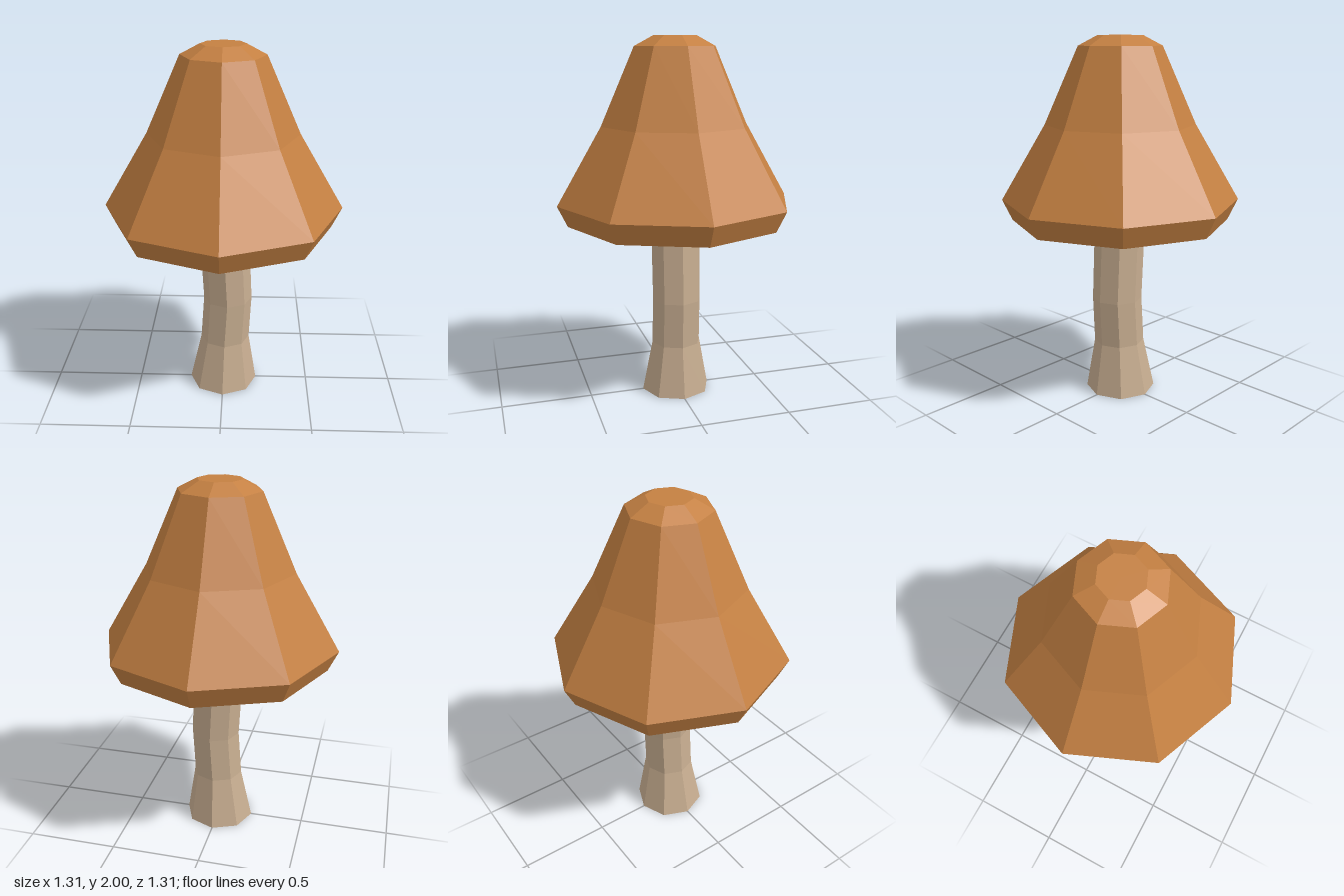
import * as THREE from 'three';

const SIDES = 8;

// Closed eight-sided solid turned from [radius, y] points listed bottom to top
function turned(name, profile, material) {
  const points = profile.map(([r, y]) => new THREE.Vector2(r, y));
  const mesh = new THREE.Mesh(new THREE.LatheGeometry(points, SIDES), material);
  mesh.name = name;
  return mesh;
}

export function createModel() {
  const capBrown = new THREE.MeshStandardMaterial({ color: 0xc48042, flatShading: true });
  capBrown.name = 'capBrown';
  const stemBeige = new THREE.MeshStandardMaterial({ color: 0xc8ae91, flatShading: true });
  stemBeige.name = 'stemBeige';

  // Cap: flat underside, flared rim, tall sloping sides, bevelled flat tip
  const cap = turned('cap', [
    [0, 1], [0.6, 1], [0.655, 1.115], [0.41, 1.53], [0.225, 1.945], [0.12, 2], [0, 2],
  ], capBrown);

  // Stem: flared foot, then a slight sideways bend
  const rings = [[0.195, 0, 0], [0.14, 0.29, 0.01], [0.138, 0.55, 0.026], [0.14, 1, 0.003]];
  const stem = turned('stem', [[0, 0], ...rings, [0, 1]], stemBeige);
  const pos = stem.geometry.attributes.position;
  for (let i = 0; i < pos.count; i++) {
    const ring = rings.find(([, y]) => Math.abs(y - pos.getY(i)) < 0.001);
    pos.setX(i, pos.getX(i) + ring[2]);
  }
  stem.geometry.computeVertexNormals();

  const mushroom = new THREE.Group();
  mushroom.name = 'mushroom';
  mushroom.add(cap, stem);
  return mushroom;
}
